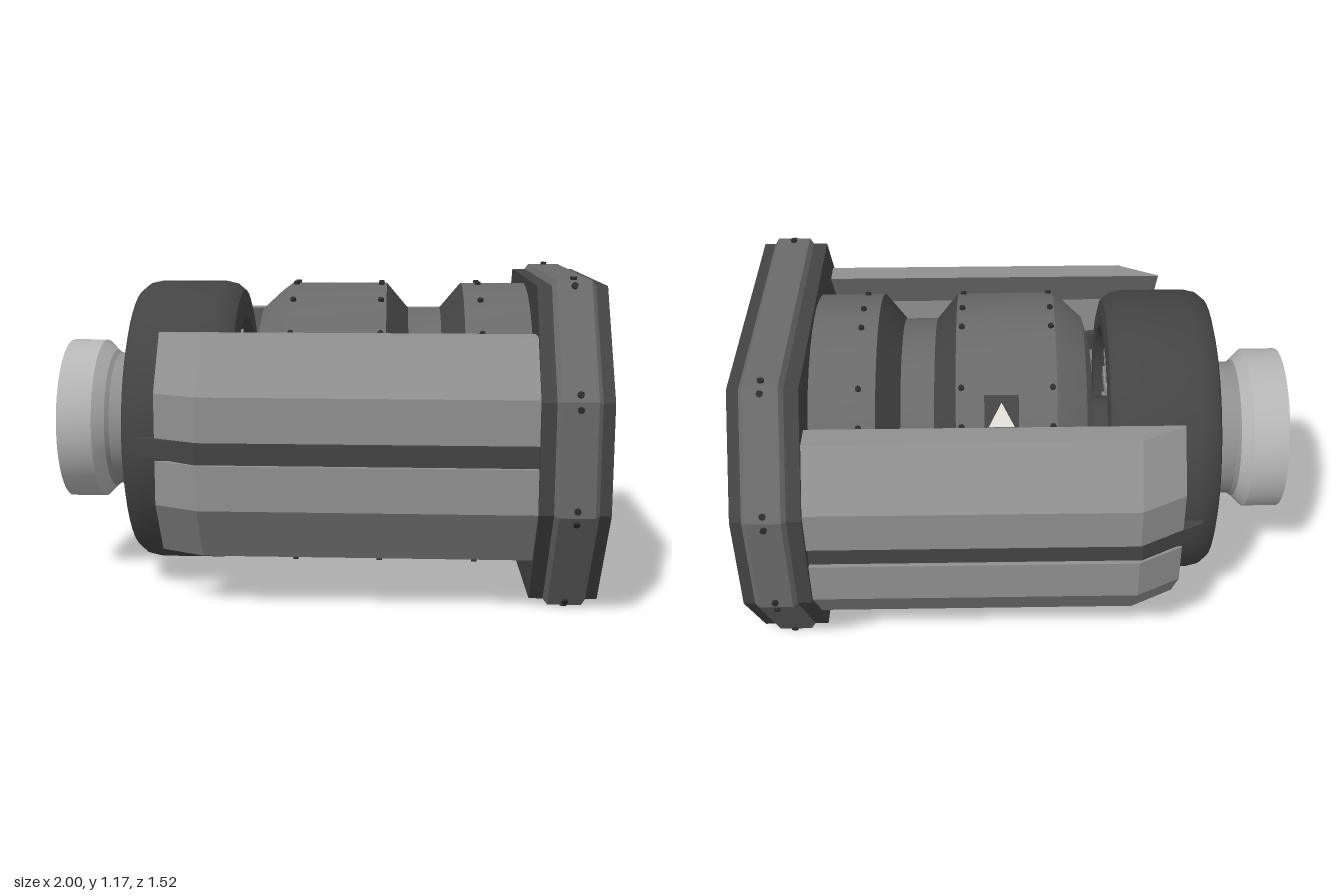
import * as THREE from 'three';
import { toCreasedNormals } from 'three/addons/utils/BufferGeometryUtils.js';

const mat = (name, color) => {
  const m = new THREE.MeshStandardMaterial({ color });
  m.name = name;
  return m;
};

export function createModel() {
  const root = new THREE.Group();
  root.name = 'engine';
  const body = new THREE.Group(); // everything is laid out around the x axis
  body.name = 'engineBody';
  body.position.y = 0.585;
  root.add(body);

  const dark = mat('darkGrey', 0x444444);
  const mid = mat('midGrey', 0x6a6a6a);
  const panelGrey = mat('panelGrey', 0x909090);
  const light = mat('lightGrey', 0xb6b6b6);
  const rivetMat = mat('rivetBlack', 0x2c2c2c);
  const cyan = mat('cyanGlow', 0x0f8fa3);
  const white = mat('offWhite', 0xdcdcd4);

  const add = (name, geo, material, parent = body) => {
    const mesh = new THREE.Mesh(geo, material);
    mesh.name = name;
    parent.add(mesh);
    return mesh;
  };

  // Turned part around x; points are [radius, x], outside running towards +x
  const turned = (name, pts, material, seg = 40) => {
    const geo = new THREE.LatheGeometry(pts.map(([r, x]) => new THREE.Vector2(r, x)), seg);
    geo.rotateZ(-Math.PI / 2);
    return add(name, toCreasedNormals(geo, 0.5), material);
  };

  // Flat-sided skin through rings of [z, y] points, each ring at its own x per point
  const loft = (name, rings, material, capStart = true, capEnd = true) => {
    const pos = [];
    const vert = (ring, i) => {
      const [z, y] = ring.pts[i % ring.pts.length];
      return [ring.x, y, z];
    };
    for (let k = 0; k < rings.length - 1; k++) {
      for (let i = 0; i < rings[k].pts.length; i++) {
        const a = vert(rings[k], i), b = vert(rings[k], i + 1);
        const c = vert(rings[k + 1], i + 1), d = vert(rings[k + 1], i);
        pos.push(...a, ...b, ...c, ...a, ...c, ...d);
      }
    }
    const cap = (ring, sign) => {
      const contour = ring.pts.map(([z, y]) => new THREE.Vector2(z, y));
      for (const t of THREE.ShapeUtils.triangulateShape(contour, [])) {
        const [p, q, r] = t.map((i) => ring.pts[i]);
        // x component of the face normal
        const nx = (q[1] - p[1]) * (r[0] - p[0]) - (q[0] - p[0]) * (r[1] - p[1]);
        const order = nx * sign > 0 ? t : [t[0], t[2], t[1]];
        order.forEach((i) => pos.push(...vert(ring, i)));
      }
    };
    if (capStart) cap(rings[0], -1);
    if (capEnd) cap(rings[rings.length - 1], 1);
    const geo = new THREE.BufferGeometry();
    geo.setAttribute('position', new THREE.Float32BufferAttribute(pos, 3));
    geo.computeVertexNormals();
    return add(name, geo, material);
  };

  const octagon = (z1, y1, z2, y2) => [
    [z1, y1], [z2, y2], [z2, -y2], [z1, -y1], [-z1, -y1], [-z2, -y2], [-z2, y2], [-z1, y1],
  ];
  const rivet = (x, y, z, nx, ny, nz, parent) => {
    const m = add('rivet', new THREE.CylinderGeometry(0.01, 0.012, 0.02, 8), rivetMat, parent);
    m.position.set(x, y, z);
    m.quaternion.setFromUnitVectors(new THREE.Vector3(0, 1, 0), new THREE.Vector3(nx, ny, nz).normalize());
  };

  // Base plate with a sunken octagon in its end face
  const big = octagon(0.49, 0.575, 0.75, 0.195);
  const small = octagon(0.483, 0.555, 0.735, 0.19);
  loft('basePlate', [
    { x: 0.76, pts: small }, { x: 1.0, pts: small },
    { x: 1.0, pts: octagon(0.27, 0.29, 0.38, 0.12) },
    { x: 0.93, pts: octagon(0.24, 0.25, 0.328, 0.108) },
  ], dark);
  loft('baseBand', [
    { x: 0.81, pts: small }, { x: 0.825, pts: big },
    { x: 0.945, pts: big }, { x: 0.96, pts: small },
  ], mid, false, false);

  // Rivets on both sides of every corner of the band
  const baseRivets = new THREE.Group();
  baseRivets.name = 'baseRivets';
  body.add(baseRivets);
  big.forEach(([z, y], i) => {
    const [z2, y2] = big[(i + 1) % 8];
    const len = Math.hypot(z2 - z, y2 - y);
    for (const t of [0.025 / len, 1 - 0.025 / len]) {
      rivet(0.885, y + (y2 - y) * t, z + (z2 - z) * t, 0, z - z2, y2 - y, baseRivets);
    }
  });
  // turn outward: the caps are symmetric, so only the axis matters

  // Drum with a dark-sided waist
  turned('frontDrum', [[0, -0.245], [0.35, -0.245], [0.435, -0.22], [0.5, -0.15], [0.53, -0.11], [0.53, 0.245]], mid);
  turned('waistFrontSlope', [[0.53, 0.245], [0.435, 0.325]], dark);
  turned('waist', [[0.435, 0.325], [0.435, 0.445]], mid);
  turned('waistRearSlope', [[0.435, 0.445], [0.53, 0.525]], dark);
  turned('rearDrum', [[0.53, 0.525], [0.53, 0.78]], mid);

  const drumRivets = new THREE.Group();
  drumRivets.name = 'drumRivets';
  body.add(drumRivets);
  for (const x of [-0.095, 0.225, 0.585]) {
    for (const deg of [-51, -36, -8, 5, 25, 45, 145, 164, 180, 198, 215, 235]) {
      const a = THREE.MathUtils.degToRad(deg);
      rivet(x, 0.53 * Math.cos(a), 0.53 * Math.sin(a), 0, Math.cos(a), Math.sin(a), drumRivets);
    }
  }

  // Small plate with a triangle on the upper back of the drum
  const badge = new THREE.Group();
  badge.name = 'warningPlate';
  const tilt = THREE.MathUtils.degToRad(-47);
  badge.position.set(0.085, 0.535 * Math.cos(tilt), 0.535 * Math.sin(tilt));
  badge.rotation.x = tilt;
  body.add(badge);
  add('plate', new THREE.BoxGeometry(0.12, 0.016, 0.145), dark, badge);
  const tri = new THREE.Shape([[-0.045, 0.04], [0, -0.045], [0.045, 0.04]].map((p) => new THREE.Vector2(...p)));
  const triGeo = new THREE.ExtrudeGeometry(tri, { depth: 0.006, bevelEnabled: false });
  triGeo.rotateX(-Math.PI / 2);
  add('triangle', triGeo, white, badge).position.y = 0.008;

  // Shaft and big rounded ring
  turned('shaft', [[0.13, -0.46], [0.13, -0.24]], dark, 24);
  turned('ring', [
    [0.38, -0.6], [0.4, -0.69], [0.46, -0.695], [0.5, -0.685], [0.525, -0.655], [0.535, -0.61],
    [0.535, -0.375], [0.525, -0.33], [0.5, -0.3], [0.46, -0.29], [0.4, -0.295], [0.38, -0.38], [0.38, -0.6],
  ], dark, 48);
  turned('ringWeb', [[0, -0.5], [0.385, -0.5], [0.385, -0.42], [0, -0.42]], dark);

  // Radial fins between ring and neck
  const fins = new THREE.Group();
  fins.name = 'fins';
  body.add(fins);
  const finGeo = new THREE.BoxGeometry(0.31, 0.15, 0.045);
  for (let i = 0; i < 20; i++) {
    const a = (i / 20) * Math.PI * 2;
    const fin = add('fin', finGeo, panelGrey, fins);
    fin.position.set(-0.485, 0.315 * Math.cos(a), 0.315 * Math.sin(a));
    fin.rotation.x = a;
  }

  // Nozzle, its glowing ring and centre spike
  turned('nozzleNeck', [[0.265, -0.8], [0.255, -0.785], [0.255, -0.45]], panelGrey);
  turned('nozzleCap', [[0.2, -0.86], [0.235, -0.97], [0.305, -0.97], [0.305, -0.84], [0.265, -0.8]], light);
  turned('glowRing', [[0.1, -0.865], [0.22, -0.865]], cyan);
  turned('spike', [[0, -1], [0.02, -1], [0.055, -0.97], [0.15, -0.87]], mid, 24);

  // Side panels in upper and lower halves with a dark rail between
  const half = [[0.49, 0.39], [0.575, 0.39], [0.715, 0.195], [0.715, 0.04], [0.63, 0.04], [0.63, 0.195]];
  const outer = [1, 2, 3];
  const rail = [[0.6, 0.039], [0.7, 0.039], [0.7, -0.039], [0.6, -0.039]];
  for (const sz of [1, -1]) {
    const side = sz > 0 ? 'front' : 'back';
    const flip = (pts, sy) => {
      const out = pts.map(([z, y]) => [z * sz, y * sy]);
      return sz * sy < 0 ? out.reverse() : out;
    };
    for (const sy of [1, -1]) {
      const tapered = half.map(([z, y], i) => [outer.includes(i) ? z - 0.082 : z, y]);
      loft(`${side}Panel${sy > 0 ? 'Upper' : 'Lower'}`, [
        { x: -0.545, pts: flip(tapered, sy) },
        { x: -0.39, pts: flip(half, sy) },
        { x: 0.77, pts: flip(half, sy) },
      ], panelGrey);
    }
    const railTip = [[0.57, 0.03], [0.59, 0.03], [0.59, -0.03], [0.57, -0.03]];
    loft(`${side}Rail`, [
      { x: -0.62, pts: flip(railTip, 1) },
      { x: -0.4, pts: flip(rail, 1) },
      { x: 0.77, pts: flip(rail, 1) },
    ], dark);
  }
  return root;
}
